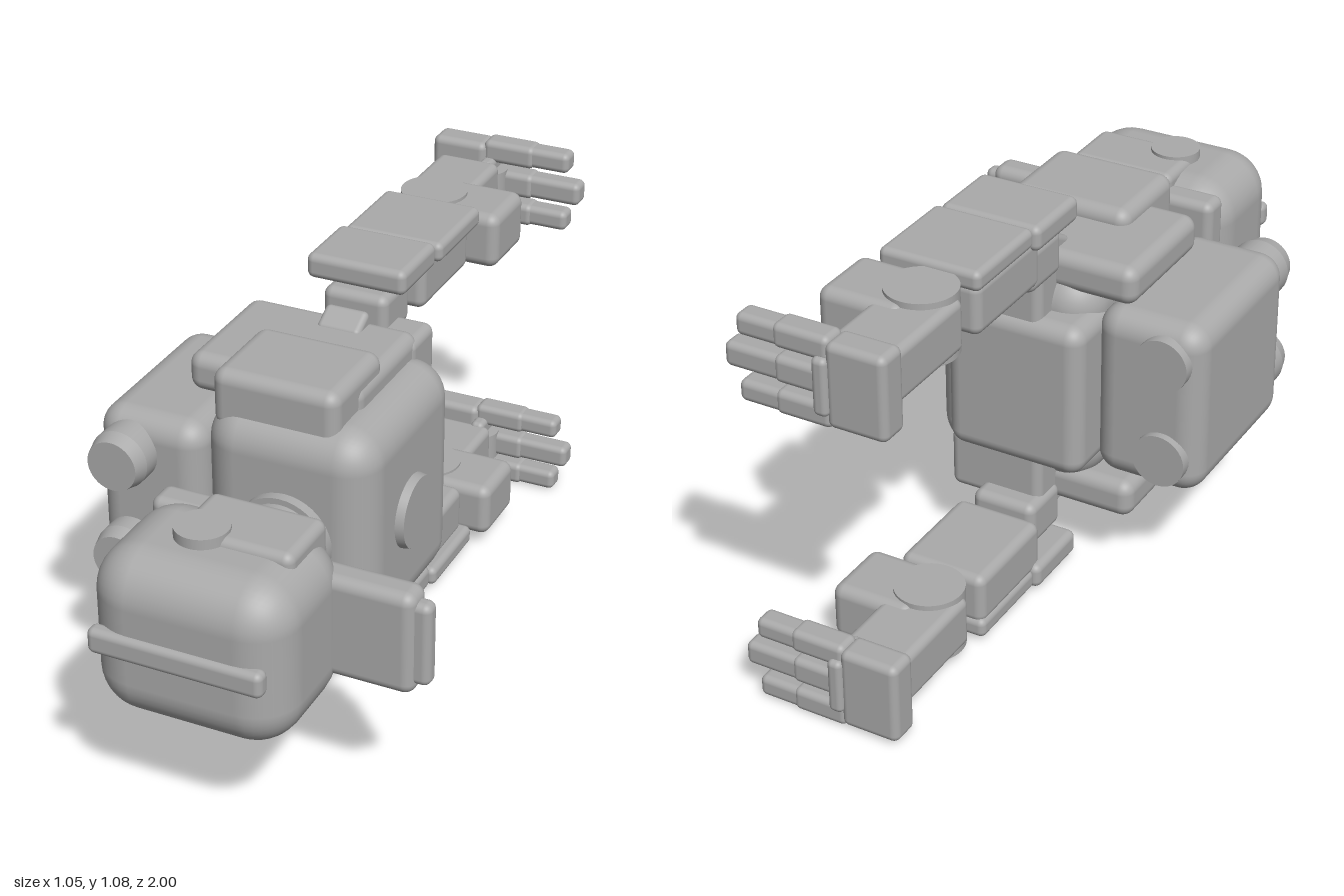
import * as THREE from 'three';
import { RoundedBoxGeometry } from 'three/addons/geometries/RoundedBoxGeometry.js';

const MID = 0.54; // height of the horizontal symmetry plane

export function createModel() {
  const model = new THREE.Group();
  model.name = 'recliningRobot';
  const grey = new THREE.MeshStandardMaterial({ color: 0xaaaaaa });
  grey.name = 'plainGrey';

  const add = (parent, name, geometry, x, y, z) => {
    const mesh = new THREE.Mesh(geometry, grey);
    mesh.name = name;
    mesh.position.set(x, y, z);
    parent.add(mesh);
    return mesh;
  };
  // Rounded box given by its ranges along x, y and z
  const box = (parent, name, [x0, x1], [y0, y1], [z0, z1], r = 0.02) => {
    const w = x1 - x0, h = y1 - y0, d = z1 - z0;
    const radius = Math.min(r, Math.min(w, h, d) * 0.49);
    return add(parent, name, new RoundedBoxGeometry(w, h, d, 5, radius),
      (x0 + x1) / 2, (y0 + y1) / 2, (z0 + z1) / 2);
  };
  // Cylinder along an axis; rStart is at the low end, rEnd at the high end
  const rod = (parent, name, axis, rStart, rEnd, from, to, a, b) => {
    const g = new THREE.CylinderGeometry(rEnd, rStart, to - from, 40);
    const m = (from + to) / 2;
    if (axis === 'x') g.rotateZ(-Math.PI / 2);
    if (axis === 'z') g.rotateX(Math.PI / 2);
    const p = { x: [m, a, b], y: [a, m, b], z: [a, b, m] }[axis];
    return add(parent, name, g, ...p);
  };
  const group = (name) => {
    const g = new THREE.Group();
    g.name = name;
    model.add(g);
    return g;
  };

  // Torso
  const torso = group('torso');
  box(torso, 'chest', [-0.23, 0.235], [0.235, 0.848], [-0.135, 0.405], 0.1);
  box(torso, 'waist', [-0.24, 0.148], [0.325, 0.755], [-0.212, 0.1], 0.045);
  rod(torso, 'chestLamp', 'x', 0.105, 0.095, 0.2, 0.258, MID, 0.15);

  // Backpack with two thrusters
  const pack = group('backpack');
  box(pack, 'packBody', [-0.525, -0.225], [0.3, 0.78], [-0.115, 0.4], 0.065);
  for (const y of [0.405, 0.68]) {
    rod(pack, 'thruster', 'z', 0.079, 0.079, 0.36, 0.45, -0.425, y);
    rod(pack, 'thrusterTip', 'z', 0.079, 0.068, 0.45, 0.49, -0.425, y);
    rod(pack, 'thrusterCap', 'z', 0.072, 0.072, -0.135, 0, -0.425, y);
  }

  // Neck
  const neck = group('neck');
  rod(neck, 'collar', 'z', 0.128, 0.128, 0.38, 0.432, 0.01, MID);
  rod(neck, 'neckRing', 'z', 0.112, 0.112, 0.43, 0.475, 0.01, MID);
  rod(neck, 'neckRing', 'z', 0.095, 0.095, 0.47, 0.505, 0.01, MID);
  rod(neck, 'neckCore', 'z', 0.04, 0.04, 0.5, 0.62, 0.01, MID);
  for (let i = 0; i < 4; i++) {
    const a = (i + 0.5) * Math.PI / 2;
    rod(neck, 'neckPiston', 'z', 0.018, 0.018, 0.5, 0.62,
      0.01 + 0.068 * Math.cos(a), MID + 0.068 * Math.sin(a));
  }

  // Head
  const head = group('head');
  box(head, 'skull', [-0.23, 0.288], [0.318, 0.764], [0.6, 0.985], 0.12);
  box(head, 'headBase', [-0.215, 0.175], [0.335, 0.745], [0.582, 0.67], 0.025);
  box(head, 'crest', [-0.207, 0.246], [0.508, 0.576], [0.955, 1], 0.018);
  box(head, 'brim', [0.2, 0.49], [0.403, 0.68], [0.622, 0.712], 0.03);
  box(head, 'brimEdge', [0.3, 0.525], [0.43, 0.655], [0.645, 0.695], 0.02);

  // Upper and lower halves: cheeks, shoulder armour, arms and hands
  for (const s of [1, -1]) {
    const side = group(s > 0 ? 'upperArm' : 'lowerArm');
    const range = ([a, b]) => (s > 0 ? [a, b] : [2 * MID - b, 2 * MID - a]);
    const part = (name, x, y, z, r) => box(side, name, x, range(y), z, r);
    const disc = (name, r, y, x, z) =>
      rod(side, name, 'y', r, r, ...range(y), x, z);

    part('cheekPlate', [-0.07, 0.235], [0.68, 0.782], [0.62, 0.815], 0.025);
    disc('earDisc', 0.068, [0.7, 0.791], -0.008, 0.785);

    // Armour on the torso sides
    part('sideArmour', [-0.335, 0.14], [0.8, 0.905], [-0.11, 0.255], 0.035);
    part('sidePad', [-0.21, 0.132], [0.78, 0.942], [0.09, 0.365], 0.035);
    part('shoulderMount', [-0.12, 0.145], [0.72, 0.89], [-0.195, -0.05], 0.025);
    const link = part('shoulderLink', [-0.11, 0.01], [0.84, 0.93], [-0.11, -0.03], 0.015);
    link.rotation.x = s * 0.5;
    part('shoulderJoint', [-0.13, 0.05], [0.85, 0.975], [-0.25, -0.095], 0.025);

    // Arm
    part('shoulderPlate', [-0.17, 0.105], [0.997, 1.065], [-0.29, -0.083], 0.02);
    part('armPlate', [-0.155, 0.12], [1.008, 1.062], [-0.545, -0.28], 0.018);
    part('upperArmBody', [-0.15, 0.09], [0.885, 1.025], [-0.54, -0.24], 0.025);
    part('elbow', [-0.06, 0.167], [0.883, 1.037], [-0.74, -0.54], 0.03);
    disc('elbowDisc', 0.09, [0.876, 1.046], -0.05, -0.625);
    part('forearm', [-0.15, 0.03], [0.89, 1.03], [-0.9, -0.6], 0.022);
    disc('wrist', 0.055, [0.92, 1.0], -0.015, -0.92);

    // Hand with three jointed fingers
    part('palm', [-0.178, -0.02], [0.85, 1.07], [-0.99, -0.905], 0.02);
    part('thumb', [-0.03, 0.01], [0.88, 1.03], [-1, -0.875], 0.015);
    [[0.843, 0.905, 0.22], [0.925, 0.995, 0.255], [1.015, 1.078, 0.22]].forEach(([a, b, tip]) => {
      part('fingerBase', [-0.03, 0.12], [a, b], [-0.985, -0.915], 0.017);
      part('fingerTip', [0.09, tip], [a + 0.003, b - 0.003], [-0.982, -0.92], 0.017);
    });
  }
  return model;
}
